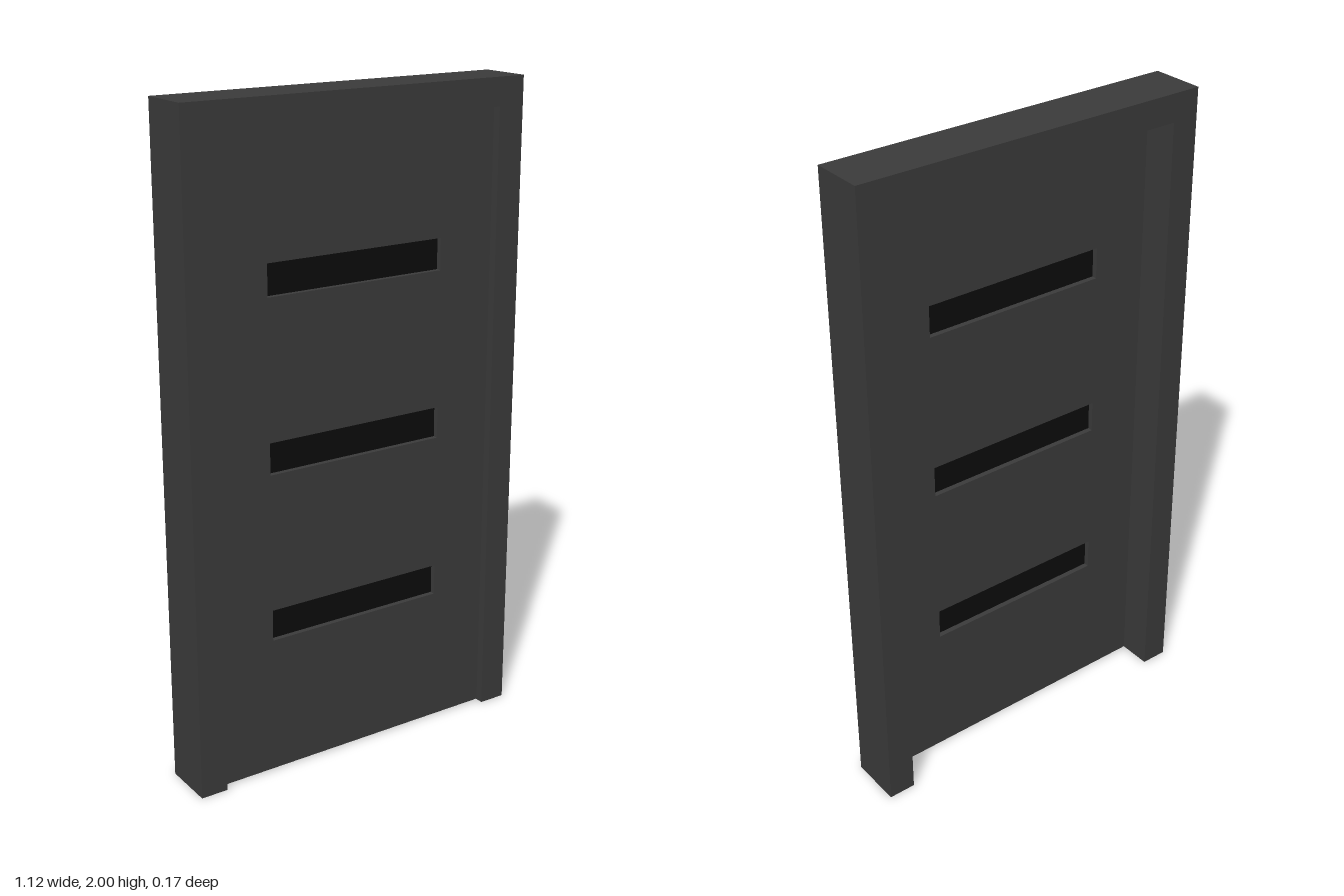
import * as THREE from 'three';

export function createModel() {
  const model = new THREE.Group();
  model.name = 'panelDoor';
  const wood = new THREE.MeshStandardMaterial({ color: 0x3c3c3c });
  const darkGlass = new THREE.MeshStandardMaterial({ color: 0x0c0c0c });

  const W = 0.56, H = 2, D = 0.166;          // frame half width, height, depth
  const openX = 0.475, openY = 1.916;        // frame opening
  const leafZ = 0.04, leafD = 0.042;         // door leaf centre and thickness
  const leafX = 0.472, leafTop = 1.914, leafBottom = 0.004;
  const innerL = -0.297, innerR = 0.289;     // inner edges of the stiles

  const box = (name, x0, x1, y0, y1, depth, material, parent) => {
    const mesh = new THREE.Mesh(new THREE.BoxGeometry(x1 - x0, y1 - y0, depth), material);
    mesh.position.set((x0 + x1) / 2, (y0 + y1) / 2, leafZ);
    mesh.name = name;
    parent.add(mesh);
  };

  // Frame: two jambs and a head in one piece, open at the floor
  const outline = new THREE.Shape([
    [-W, 0], [-openX, 0], [-openX, openY], [openX, openY],
    [openX, 0], [W, 0], [W, H], [-W, H],
  ].map(([x, y]) => new THREE.Vector2(x, y)));
  const frameGeometry = new THREE.ExtrudeGeometry(outline, { depth: D, bevelEnabled: false });
  frameGeometry.translate(0, 0, -D / 2);
  const frame = new THREE.Mesh(frameGeometry, wood);
  frame.name = 'doorFrame';
  model.add(frame);

  // Leaf, set close to the front of the frame
  const leaf = new THREE.Group();
  leaf.name = 'doorLeaf';
  model.add(leaf);
  box('rightStile', -leafX, innerL, leafBottom, leafTop, leafD, wood, leaf);
  box('leftStile', innerR, leafX, leafBottom, leafTop, leafD, wood, leaf);

  // Cross rails between the stiles: [bottom, top]
  const rails = [
    [leafBottom, 0.215], [0.215, 0.427], [0.523, 0.735], [0.735, 0.942],
    [1.038, 1.248], [1.248, 1.457], [1.552, 1.767], [1.767, leafTop],
  ];
  rails.forEach(([y0, y1], i) => box(`rail${i + 1}`, innerL, innerR, y0, y1, leafD, wood, leaf));

  // Thin glass strips recessed in the gaps
  for (let i = 1; i < 7; i += 2) {
    box(`glassStrip${(i + 1) / 2}`, innerL, innerR, rails[i][1], rails[i + 1][0], 0.01, darkGlass, leaf);
  }
  return model;
}
